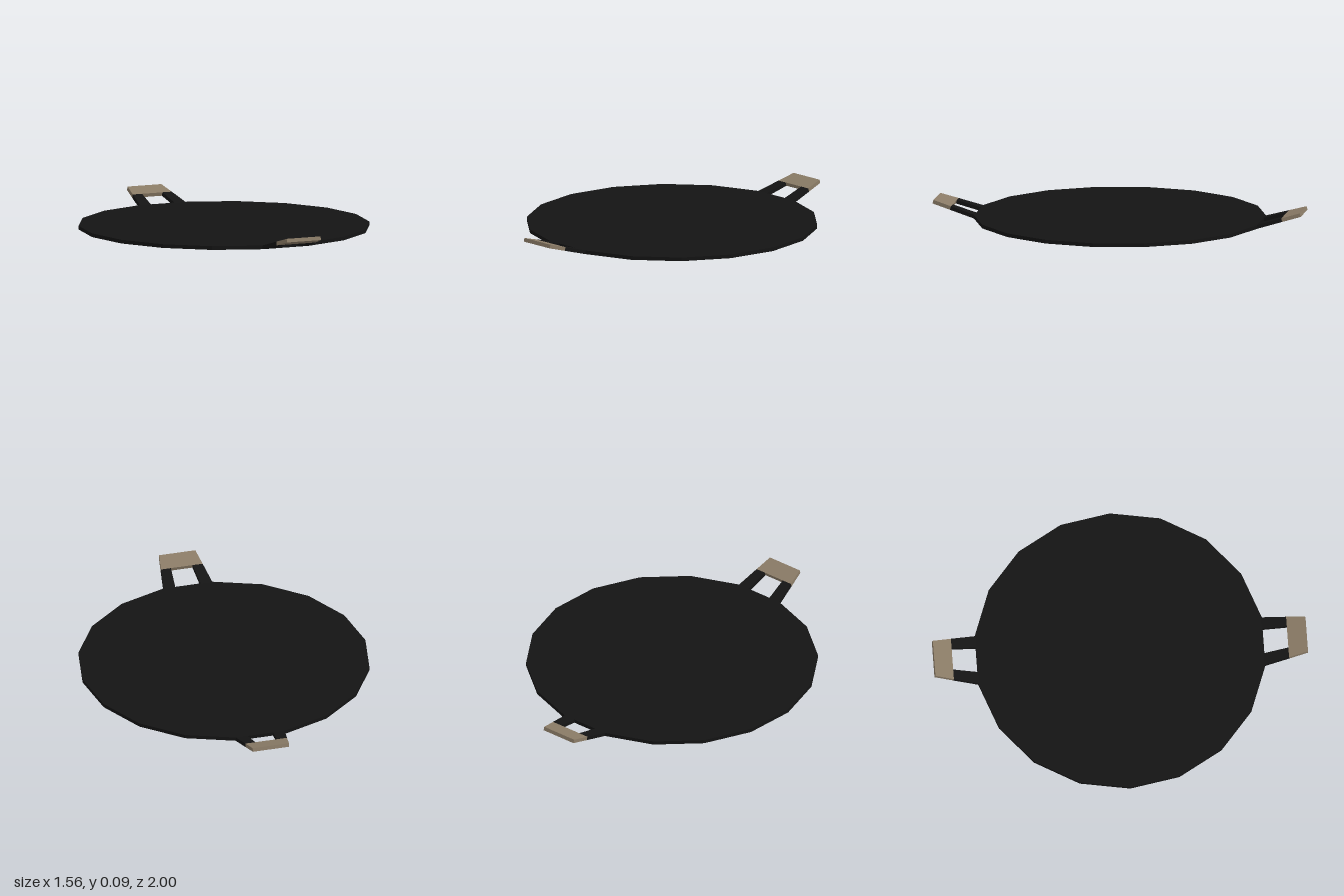
import * as THREE from 'three';

const THICK = 0.02;
const iron = new THREE.MeshStandardMaterial({ color: 0x141414, flatShading: true });
const tan = new THREE.MeshStandardMaterial({ color: 0x8a7b66, flatShading: true });

// Flat slab from an outline given as [x, z] points, standing on y = 0
function slab(name, points, material) {
  const shape = new THREE.Shape(points.map(([x, z]) => new THREE.Vector2(x, z)));
  const geometry = new THREE.ExtrudeGeometry(shape, { depth: THICK, bevelEnabled: false });
  geometry.rotateX(Math.PI / 2).translate(0, THICK, 0);
  const mesh = new THREE.Mesh(geometry, material);
  mesh.name = name;
  return mesh;
}

// Upturned handle: two tapering arms and a grip across their ends
function createHandle(name) {
  const tilted = new THREE.Group();
  for (const [side, s] of [['left', 1], ['right', -1]]) {
    tilted.add(slab(`${side}Arm`, [[0.07 * s, 0], [0.135 * s, 0], [0.115 * s, 0.14], [0.06 * s, 0.14]], iron));
  }
  tilted.add(slab('grip', [[-0.115, 0.14], [0.115, 0.14], [0.1, 0.2415], [-0.1, 0.2415]], tan));
  tilted.position.z = 0.768;
  tilted.rotation.x = -0.28;
  const handle = new THREE.Group();
  handle.name = name;
  handle.add(tilted);
  return handle;
}

export function createModel() {
  const model = new THREE.Group();
  model.name = 'griddle';

  // Thin 18-sided plate with flat edges facing front and back
  const plate = new THREE.Mesh(
    new THREE.CylinderGeometry(0.78, 0.78, THICK, 18, 1, false, Math.PI / 18), iron);
  plate.name = 'plate';
  plate.position.y = THICK / 2;
  model.add(plate);

  // Matching handles at the front and back
  const back = createHandle('backHandle');
  back.rotation.y = Math.PI;
  model.add(createHandle('frontHandle'), back);
  return model;
}
